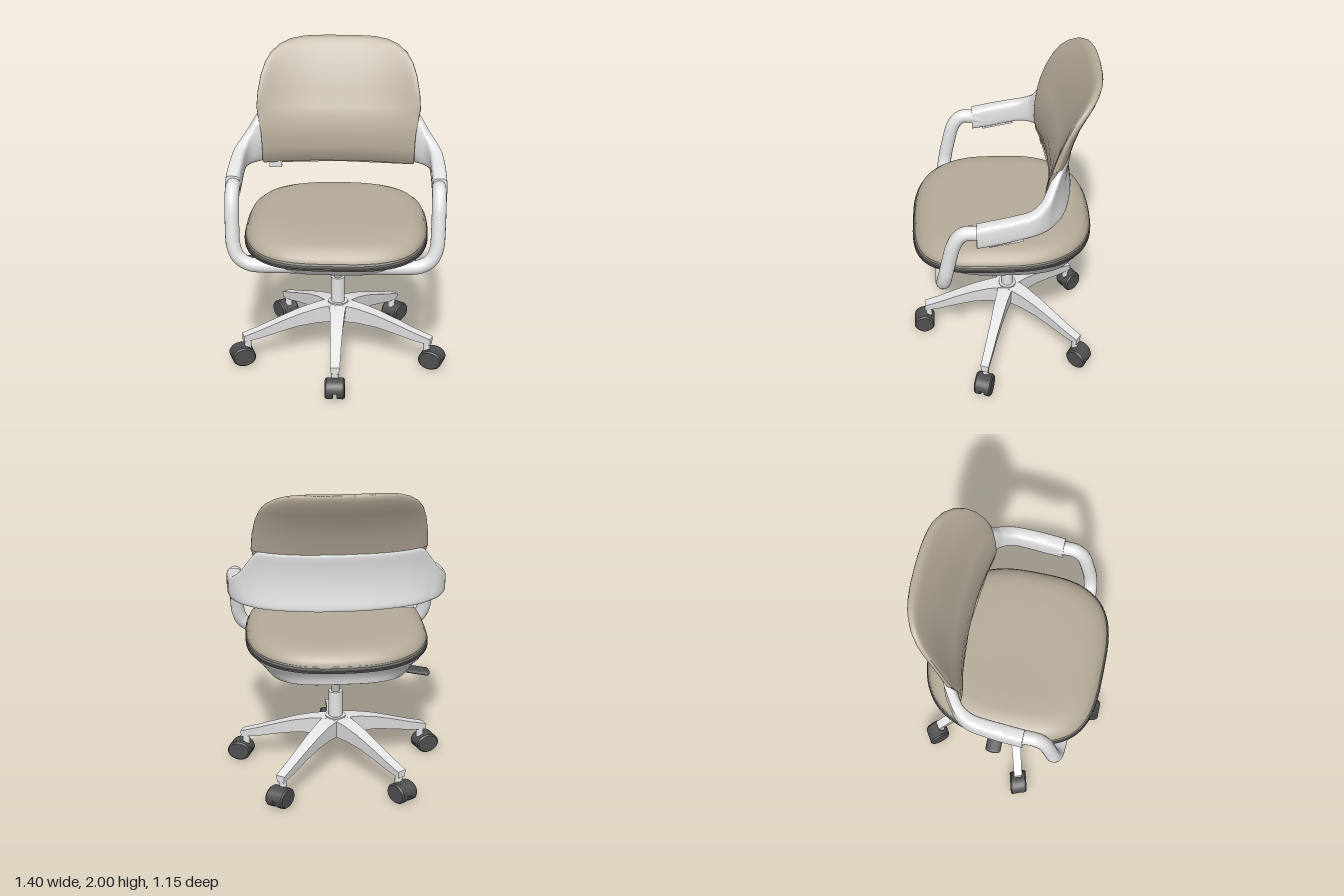
import * as THREE from 'three';
import { toCreasedNormals } from 'three/addons/utils/BufferGeometryUtils.js';

const material = (name, color) => {
  const m = new THREE.MeshStandardMaterial({ color });
  m.name = name;
  return m;
};
const V = (x, y, z) => new THREE.Vector3(x, y, z);
const spow = (v, p) => Math.sign(v) * Math.pow(Math.abs(v), p);

// Closed skin over a list of rings, capped at both ends and wound outwards
function loft(rings, crease = 0.7) {
  const centre = (r) => r.reduce((a, p) => a.add(p), V(0, 0, 0)).divideScalar(r.length);
  const cap = (r) => { const c = centre(r); return r.map(() => c); };
  const all = [cap(rings[0]), ...rings, cap(rings[rings.length - 1])];
  const n = rings[0].length, pts = all.flat(), idx = [];
  for (let i = 0; i < all.length - 1; i++) {
    for (let j = 0; j < n; j++) {
      const a = i * n + j, b = i * n + (j + 1) % n;
      if (i > 0) idx.push(a, b, a + n);
      if (i < all.length - 2) idx.push(b, b + n, a + n);
    }
  }
  let volume = 0;
  for (let i = 0; i < idx.length; i += 3) {
    volume += pts[idx[i]].dot(V(0, 0, 0).crossVectors(pts[idx[i + 1]], pts[idx[i + 2]]));
  }
  if (volume < 0) idx.reverse();
  const g = new THREE.BufferGeometry().setFromPoints(pts);
  g.setIndex(idx);
  return toCreasedNormals(g, crease);
}

// Flat seat outline, squarer at the front than the back; the front edge dips by the droop
function seatRing(sx, sz, cz, y, droop = 0, back = 2.6, count = 72) {
  return Array.from({ length: count }, (_, i) => {
    const a = i / count * Math.PI * 2, e = 2 / (Math.sin(a) > 0 ? 3.2 : back);
    const x = sx * spow(Math.cos(a), e), z = cz + sz * spow(Math.sin(a), e);
    const f = Math.max(0, (z - 0.1) / 0.45), b = Math.max(0, (-z - 0.3) / 0.25);
    return V(x, y - droop * f * f - droop * 0.2 * b * b, z);
  });
}

export function createModel() {
  const tan = material('tanUpholstery', 0xb6ab99);
  const grey = material('lightGreyPlastic', 0xe4e4e4);
  const dark = material('darkPlastic', 0x4f4f4f);
  const steel = material('steel', 0xb4b4b4);
  const seam = material('seamGrey', 0x7d7a73);
  const root = new THREE.Group();
  root.name = 'taskChair';
  const upper = new THREE.Group();
  upper.name = 'seatAndBack';
  upper.position.x = -0.01;
  root.add(upper);
  const add = (name, geo, mat, parent = upper, x = 0, y = 0, z = 0) => {
    const m = new THREE.Mesh(geo, mat);
    m.name = name;
    m.position.set(x, y, z);
    parent.add(m);
    return m;
  };
  const tube = (points, r, seg = 64, tension = 0.5) => new THREE.TubeGeometry(
    new THREE.CatmullRomCurve3(points.map((p) => V(...p)), false, 'catmullrom', tension), seg, r, 16);

  // Seat: cushion, seam, dark rim and the grey pan below
  add('seatCushion', loft([
    [0.95, 0.945], [0.98, 0.955], [0.98, 0.972], [0.96, 0.998], [0.91, 1.022],
    [0.83, 1.04], [0.72, 1.045], [0.5, 1.042], [0.25, 1.04], [0.05, 1.04],
  ].map(([s, y]) => seatRing(0.562 * s, 0.55 * s, 0, y, 0.045)), 1.5), tan);
  add('seatSeam', loft([[0.94, 0.945], [0.99, 0.945], [0.99, 0.962], [0.975, 0.97], [0.94, 0.97]]
    .map(([s, y]) => seatRing(0.563 * s, 0.552 * s, 0, y, 0.04))), seam);
  add('seatRim', loft([[0.92, 0.92], [0.975, 0.922], [1, 0.93], [1, 0.942], [0.98, 0.949], [0.92, 0.949]]
    .map(([s, y]) => seatRing(0.563 * s, 0.552 * s, 0, y, 0.037))), dark);
  add('seatPan', loft([
    [0.53, 0.515, 0, 0.935, 0.035], [0.52, 0.5, 0, 0.905, 0.02], [0.495, 0.475, 0, 0.875, 0],
    [0.465, 0.455, -0.005, 0.835, 0], [0.44, 0.44, -0.015, 0.804, 0], [0.43, 0.43, -0.015, 0.798, 0],
    [0.415, 0.415, -0.015, 0.8, 0], [0.4, 0.4, -0.015, 0.82, 0], [0.395, 0.395, -0.015, 0.87, 0],
  ].map((r) => seatRing(...r, 3.4))), grey);
  add('undersideBrace', tube([[-0.24, 0.83, 0.36], [-0.24, 0.83, -0.2], [-0.2, 0.83, -0.28],
    [0.2, 0.83, -0.28], [0.24, 0.83, -0.2], [0.24, 0.83, 0.36]], 0.022, 64, 0.2), grey);

  // Tube frame running from one arm, under the seat, to the other arm
  const half = [[0.618, 1.25, 0.08], [0.616, 1.272, 0.18], [0.615, 1.262, 0.245], [0.614, 1.19, 0.295],
    [0.612, 1.04, 0.332], [0.607, 0.96, 0.348], [0.582, 0.892, 0.36], [0.53, 0.85, 0.367],
    [0.45, 0.834, 0.37], [0.2, 0.832, 0.37]];
  add('tubeFrame', tube([...half, ...half.map(([x, y, z]) => [-x, y, z]).reverse()], 0.043, 160), grey);

  // Backrest pad: rows of [y, half width, front z, rear z], swept forward at the sides
  const rows = [[1.25, 0.475, -0.305, -0.36], [1.262, 0.48, -0.292, -0.365], [1.35, 0.48, -0.28, -0.36],
    [1.45, 0.485, -0.285, -0.36], [1.55, 0.502, -0.31, -0.37], [1.6, 0.51, -0.33, -0.39],
    [1.602, 0.513, -0.331, -0.41], [1.7, 0.506, -0.37, -0.44], [1.8, 0.487, -0.415, -0.48],
    [1.87, 0.462, -0.45, -0.52], [1.92, 0.428, -0.48, -0.548], [1.96, 0.375, -0.503, -0.565],
    [1.985, 0.31, -0.52, -0.572], [1.997, 0.23, -0.535, -0.568], [2.0, 0.15, -0.545, -0.56]];
  add('backrestPad', loft(rows.map(([y, w, zf, zr]) => {
    const mid = Math.max(zf - 0.03, (zf + zr) / 2);
    const sweep = 0.077 + 0.03 * THREE.MathUtils.smoothstep(y, 1.5, 1.9);
    return Array.from({ length: 56 }, (_, i) => {
      const a = i / 56 * Math.PI * 2, x = w * spow(Math.cos(a), 0.6), s = Math.sin(a);
      const depth = ((s > 0 ? zf : zr) - mid) * Math.sqrt(Math.abs(s));
      return V(x, y, mid + depth + sweep * Math.pow(Math.abs(x) / 0.5, 2.5));
    });
  }), 0.9), tan);

  // Support band around the back, flowing into the arm sleeves:
  // stations of [x, z, bottom y, top y, half thickness]
  const side = [[0.12, -0.364, 1.25, 1.605, 0.03], [0.28, -0.342, 1.25, 1.605, 0.03],
    [0.4, -0.312, 1.25, 1.605, 0.03], [0.475, -0.28, 1.25, 1.6, 0.03], [0.52, -0.257, 1.25, 1.54, 0.03],
    [0.57, -0.222, 1.25, 1.455, 0.034], [0.605, -0.16, 1.248, 1.4, 0.04], [0.617, -0.06, 1.23, 1.373, 0.043],
    [0.621, 0.05, 1.205, 1.35, 0.045], [0.622, 0.165, 1.185, 1.325, 0.045]];
  const stations = [...side.map(([x, ...r]) => [-x, ...r]).reverse(), ...side];
  const path = new THREE.CatmullRomCurve3(stations.map(([x, z, , , t]) => V(x, t, z)));
  const span = new THREE.CatmullRomCurve3(stations.map(([, , b, t], i) => V(b, t, i)));
  add('supportBandAndSleeves', loft(Array.from({ length: 96 }, (_, i) => {
    const p = path.getPoint(i / 95), h = span.getPoint(i / 95);
    const d = path.getTangent(i / 95).setY(0).normalize();
    const lean = 0.03 * THREE.MathUtils.clamp((0.6 - Math.abs(p.x)) / 0.12, 0, 1);
    return Array.from({ length: 28 }, (_, j) => {
      const a = j / 28 * Math.PI * 2, s = spow(Math.sin(a), 0.5), c = spow(Math.cos(a), 0.5) * p.y;
      return V(p.x + d.z * c, (h.x + h.y) / 2 + (h.y - h.x) / 2 * s, p.z - d.x * c - lean * s * s);
    });
  }), 0.8), grey);
  add('backLatch', new THREE.BoxGeometry(0.08, 0.05, 0.03), grey, upper, -0.4, 1.24, -0.28);
  for (const s of [-1, 1]) {
    const knob = add('sleeveCatch', new THREE.BoxGeometry(0.05, 0.02, 0.2), grey, upper, s * 0.618, 1.215, 0);
    knob.rotation.x = 0.2;
  }

  // Tilt mechanism and height lever
  add('tiltMechanism', toCreasedNormals(new THREE.LatheGeometry([[0, 0.665], [0.04, 0.665], [0.045, 0.69],
    [0.078, 0.725], [0.082, 0.8], [0.082, 0.88], [0, 0.88]].map((p) => new THREE.Vector2(...p)), 24), 0.5),
  dark, upper, 0, 0, -0.04);
  add('leverRod', tube([[-0.05, 0.775, -0.04], [-0.25, 0.733, -0.04], [-0.46, 0.69, -0.04]], 0.011, 12), steel);
  const paddle = add('leverPaddle', new THREE.CapsuleGeometry(0.018, 0.13, 6, 20), dark, upper, -0.51, 0.677, -0.04);
  paddle.scale.z = 2.7;
  paddle.rotation.z = Math.PI / 2 + 0.2;

  // Five-star base, slightly wider than deep
  const base = new THREE.Group();
  base.name = 'base';
  base.position.set(-0.005, 0, -0.04);
  base.scale.x = 1.165;
  root.add(base);
  const cyl = (r1, r2, h, n = 28) => new THREE.CylinderGeometry(r1, r2, h, n);
  add('columnSleeve', cyl(0.038, 0.038, 0.2), grey, base, 0, 0.455, 0);
  add('gasPiston', cyl(0.023, 0.023, 0.14), steel, base, 0, 0.61, 0);
  add('hub', cyl(0.055, 0.05, 0.14), grey, base, 0, 0.312, 0);

  // Leg sections of [distance, top y, bottom y, half width]
  const legGeo = loft([[0, 0.375, 0.25, 0.052], [0.06, 0.372, 0.25, 0.047], [0.13, 0.36, 0.25, 0.041],
    [0.23, 0.332, 0.24, 0.036], [0.34, 0.289, 0.212, 0.031], [0.45, 0.243, 0.18, 0.028], [0.545, 0.208, 0.163, 0.026],
  ].map(([r, t, b, w]) => [V(-w, t, r), V(w, t, r), V(w * 0.8, b, r), V(-w * 0.8, b, r)]), 0.5);
  const wheelGeo = toCreasedNormals(new THREE.LatheGeometry([[0, -0.021], [0.062, -0.021], [0.066, -0.016],
    [0.066, 0.013], [0.058, 0.022], [0, 0.022]].map((p) => new THREE.Vector2(...p)), 28), 0.6);
  const hoodShape = new THREE.Shape().absarc(0, 0, 0.066, 0, Math.PI, false);
  const hoodGeo = new THREE.ExtrudeGeometry(hoodShape, { depth: 0.05, bevelEnabled: false, curveSegments: 16 });
  hoodGeo.translate(0, 0, -0.025).rotateY(Math.PI / 2);
  for (let i = 0; i < 5; i++) {
    const leg = new THREE.Group();
    leg.name = 'leg' + (i + 1);
    leg.rotation.y = i * Math.PI * 2 / 5;
    base.add(leg);
    add('legArm', legGeo, grey, leg);
    add('casterPost', cyl(0.02, 0.02, 0.08, 16), grey, leg, 0, 0.15, 0.52);
    add('casterHood', hoodGeo, dark, leg, 0, 0.066, 0.552);
    add('casterAxle', cyl(0.022, 0.022, 0.06, 16), dark, leg, 0, 0.066, 0.552).rotation.z = Math.PI / 2;
    for (const s of [-1, 1]) {
      add('casterWheel', wheelGeo, dark, leg, s * 0.031, 0.066, 0.552).rotation.z = -s * Math.PI / 2;
    }
  }
  return root;
}
